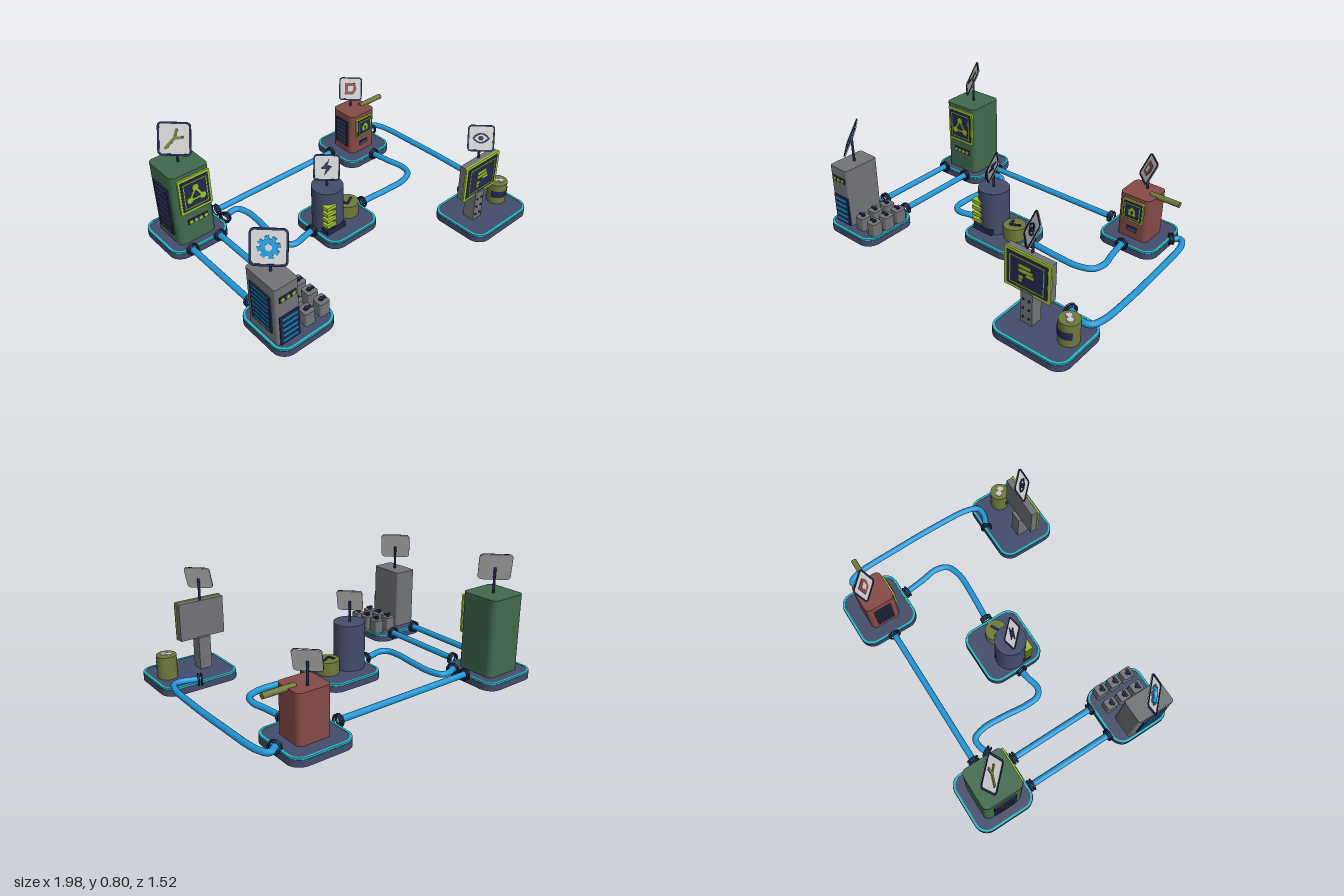
import * as THREE from 'three';

const M = {};
for (const [name, color] of Object.entries({
  slate: 0x434c6b, teal: 0x22bcc8, blue: 0x2196d6, lime: 0xa0c430, olive: 0x6f7a3a,
  green: 0x40694c, red: 0x864a46, grey: 0x727377, white: 0xcccccc, navy: 0x1f2a4c,
})) {
  M[name] = new THREE.MeshStandardMaterial({ color });
  M[name].name = name;
}

function add(parent, name, geo, mat, x = 0, y = 0, z = 0) {
  const m = new THREE.Mesh(geo, mat);
  m.name = name;
  m.position.set(x, y, z);
  parent.add(m);
  return m;
}
function group(parent, name, x = 0, y = 0, z = 0) {
  const g = new THREE.Group();
  g.name = name;
  g.position.set(x, y, z);
  parent.add(g);
  return g;
}
const box = (w, h, d) => new THREE.BoxGeometry(w, h, d);
const cyl = (r, h, n = 32) => new THREE.CylinderGeometry(r, r, h, n);

function rounded(w, h, r, S = THREE.Shape) {
  const s = new S(), a = w / 2, b = h / 2;
  s.absarc(a - r, b - r, r, 0, Math.PI / 2);
  s.absarc(r - a, b - r, r, Math.PI / 2, Math.PI);
  s.absarc(r - a, r - b, r, Math.PI, Math.PI * 1.5);
  s.absarc(a - r, r - b, r, Math.PI * 1.5, Math.PI * 2);
  s.closePath();
  return s;
}
function ring(w, h, r, t) {
  const s = rounded(w, h, r);
  s.holes.push(rounded(w - 2 * t, h - 2 * t, Math.max(r - t, 0.002), THREE.Path));
  return s;
}
const ext = (shape, depth) =>
  new THREE.ExtrudeGeometry(shape, { depth, bevelEnabled: false, curveSegments: 7 });
const slab = (shape, height) => ext(shape, height).rotateX(-Math.PI / 2);
const poly = pts => new THREE.Shape(pts.map(p => new THREE.Vector2(...p)));

// Flat icon helpers, drawn in the local xy plane
function stroke(g, x1, y1, x2, y2, w, mat) {
  const m = add(g, 'iconStroke', box(Math.hypot(x2 - x1, y2 - y1), w, 0.006), mat, (x1 + x2) / 2, (y1 + y2) / 2, 0.003);
  m.rotation.z = Math.atan2(y2 - y1, x2 - x1);
}
function dot(g, x, y, r, mat, z = 0.003) {
  add(g, 'iconDot', cyl(r, 0.006, 20).rotateX(Math.PI / 2), mat, x, y, z);
}

// Platform with a bright rim
function platform(root, name, x, z, w, d) {
  const g = group(root, name, x, 0, z);
  add(g, 'slab', slab(rounded(w, d, 0.085), 0.042), M.slate);
  add(g, 'deck', slab(rounded(w - 0.03, d - 0.03, 0.07), 0.01), M.slate, 0, 0.04);
  add(g, 'rim', slab(ring(w - 0.004, d - 0.004, 0.083, 0.014), 0.011), M.teal, 0, 0.042);
  return g;
}

// Tilted sign on a thin pole; draw() adds its icon
function sign(root, x, y, z, s, foot, draw) {
  const g = group(root, 'sign', x, y, z);
  add(g, 'signPole', cyl(0.008, y - foot, 10), M.navy, 0, (foot - y) / 2, 0);
  const p = group(g, 'signPlate');
  p.rotation.set(-25 * Math.PI / 180, -Math.PI / 4, 0, 'YXZ');
  add(p, 'plate', ext(rounded(s * 0.99, s * 0.99, s * 0.14), 0.006), M.white);
  add(p, 'signFrame', ext(ring(s, s, s * 0.14, s * 0.06), 0.005), M.navy, 0, 0, 0.005);
  const icon = group(p, 'signIcon', 0, 0, 0.005);
  icon.scale.set(s, s, 1);
  draw(icon);
}

// Framed screen facing +z
function screen(root, x, y, z, w, h, draw) {
  const g = group(root, 'screen', x, y, z);
  add(g, 'screenFrame', ext(rounded(w, h, 0.008), 0.012), M.lime);
  add(g, 'screenFace', box(w * 0.87, h * 0.85, 0.006), M.navy, 0, 0, 0.012);
  add(g, 'screenBorder', ext(ring(w * 0.74, h * 0.72, 0.008, 0.006), 0.004), M.lime, 0, 0, 0.014);
  const icon = group(g, 'screenIcon', 0, 0, 0.013);
  icon.scale.set(h, h, 1);
  draw(icon);
}

// Row of indicator lights on a dark strip
function lights(root, x, y, z, n, w, mat) {
  const g = group(root, 'lights', x, y, z);
  add(g, 'lightStrip', box(w, 0.035, 0.008), M.navy);
  for (let i = 0; i < n; i++) dot(g, (i - (n - 1) / 2) * (w / n), 0, 0.013, mat, 0.005);
}

// Slatted vent on a -x face
function vent(root, x, y, z, w, h, n, mat) {
  const g = group(root, 'vent', x, y, z);
  add(g, 'ventPlate', box(0.012, h, w), M.navy);
  for (let i = 0; i < n; i++)
    add(g, 'ventSlat', box(0.008, h / n * 0.35, w * 0.82), mat, -0.006, ((i + 0.5) / n - 0.5) * h, 0);
}

// Pipe along the floor with paired collars at both ends
function pipe(root, pts) {
  const curve = new THREE.CatmullRomCurve3(pts.map(([x, z]) => new THREE.Vector3(x, 0.062, z)));
  const g = group(root, 'pipe');
  add(g, 'pipeTube', new THREE.TubeGeometry(curve, pts.length * 10, 0.02, 14), M.blue);
  const len = curve.getLength();
  for (const d of [0.004, 0.022]) for (const t of [d / len, 1 - d / len]) {
    const c = add(g, 'collar', new THREE.TorusGeometry(0.034, 0.006, 8, 24), M.navy);
    c.position.copy(curve.getPointAt(t));
    c.lookAt(c.position.clone().add(curve.getTangentAt(t)));
  }
}

export function createModel() {
  const root = new THREE.Group();
  root.name = 'pipelineStations';

  // Green tower station
  const a = platform(root, 'towerStation', -0.785, -0.565, 0.405, 0.405);
  add(a, 'greenTower', slab(rounded(0.26, 0.265, 0.035), 0.5), M.green, 0, 0.05, 0.005);
  screen(a, 0.01, 0.4, 0.137, 0.22, 0.25, g => {
    const p = [[0, 0.17], [-0.18, -0.14], [0.18, -0.14]];
    p.forEach(([x, y], i) => {
      dot(g, x, y, 0.085, M.lime);
      stroke(g, x, y, ...p[(i + 1) % 3], 0.05, M.lime);
    });
  });
  lights(a, 0.01, 0.2, 0.139, 4, 0.14, M.lime);
  vent(a, -0.134, 0.28, 0.005, 0.15, 0.34, 8, M.slate);
  sign(a, 0.005, 0.71, 0, 0.2, 0.55, g => {
    stroke(g, -0.28, -0.3, 0, 0.02, 0.09, M.olive);
    stroke(g, 0, 0.02, 0.08, 0.3, 0.08, M.olive);
    stroke(g, 0, 0.02, 0.27, 0.05, 0.08, M.olive);
  });

  // Red station with side spout
  const b = platform(root, 'redStation', 0.64, -0.565, 0.405, 0.405);
  add(b, 'redTower', slab(rounded(0.215, 0.205, 0.035), 0.3), M.red, 0, 0.05, 0.005);
  add(b, 'spout', cyl(0.018, 0.2, 20).rotateZ(Math.PI / 2), M.olive, 0.155, 0.347, 0.008);
  screen(b, 0, 0.25, 0.107, 0.15, 0.15, g => {
    add(g, 'house', ext(poly([[-0.16, -0.18], [0.16, -0.18], [0.16, 0.06], [0, 0.22], [-0.16, 0.06]]), 0.005), M.lime);
    add(g, 'door', box(0.1, 0.16, 0.006), M.navy, 0, -0.06, 0.004);
  });
  lights(b, 0, 0.115, 0.108, 3, 0.07, M.slate);
  vent(b, -0.111, 0.2, 0.005, 0.12, 0.2, 6, M.slate);
  sign(b, 0.005, 0.485, -0.035, 0.16, 0.34, g => {
    add(g, 'badge', ext(poly([[-0.25, -0.25], [0.12, -0.25], [0.27, 0], [0.2, 0.25], [-0.25, 0.25]]), 0.005), M.red);
    add(g, 'badgeCore', ext(poly([[-0.12, -0.12], [0.08, -0.12], [0.13, 0.12], [-0.12, 0.12]]), 0.007), M.white);
  });

  // Power station: tall tank and low drum
  const c = platform(root, 'powerStation', -0.022, -0.003, 0.405, 0.405);
  add(c, 'tank', cyl(0.1, 0.3, 40), M.slate, -0.08, 0.2, 0.003);
  for (let i = 0; i < 4; i++) add(c, 'tankStripe', box(0.075, 0.024, 0.05), M.lime, -0.137, 0.125 + i * 0.045, 0.085);
  add(c, 'tankLabel', box(0.15, 0.038, 0.06), M.navy, -0.095, 0.073, 0.075);
  add(c, 'drum', cyl(0.072, 0.088, 36), M.olive, 0.088, 0.094, 0.003);
  const tick = group(c, 'tick', 0.088, 0.138, 0.003);
  tick.rotation.x = -Math.PI / 2;
  stroke(tick, -0.032, 0.028, -0.02, -0.022, 0.016, M.navy);
  stroke(tick, -0.022, -0.022, 0.042, 0.012, 0.016, M.navy);
  sign(c, -0.083, 0.483, 0.003, 0.16, 0.35, g =>
    add(g, 'bolt', ext(poly([[0.1, 0.33], [-0.22, -0.06], [-0.03, -0.06], [-0.1, -0.33], [0.22, 0.07], [0.03, 0.07]]), 0.006), M.navy));

  // Grey server station with canisters
  const d = platform(root, 'serverStation', -0.785, 0.448, 0.405, 0.405);
  add(d, 'serverTower', slab(rounded(0.155, 0.25, 0.015), 0.4), M.grey, -0.102, 0.05, 0.014);
  add(d, 'serverPanel', box(0.13, 0.2, 0.008), M.navy, -0.098, 0.15, 0.142);
  for (let i = 0; i < 5; i++) add(d, 'serverBar', box(0.105, 0.016, 0.008), M.blue, -0.098, 0.075 + i * 0.038, 0.147);
  lights(d, -0.1, 0.37, 0.141, 3, 0.11, M.lime);
  vent(d, -0.182, 0.25, 0.014, 0.17, 0.26, 8, M.blue);
  for (const x of [0.05, 0.155]) for (const z of [-0.1, 0, 0.1]) {
    add(d, 'canister', slab(rounded(0.07, 0.075, 0.012), 0.09), M.grey, x, 0.05, z);
    add(d, 'canisterNeck', cyl(0.012, 0.014, 12), M.navy, x, 0.146, z);
    add(d, 'canisterHandle', box(0.045, 0.008, 0.016), M.navy, x, 0.156, z + 0.008);
  }
  sign(d, -0.1, 0.612, 0.007, 0.2, 0.45, g => {
    for (let i = 0; i < 4; i++) {
      const t = i * Math.PI / 4 + 0.2, x = Math.cos(t) * 0.3, y = Math.sin(t) * 0.3;
      stroke(g, -x, -y, x, y, 0.12, M.blue);
    }
    dot(g, 0, 0, 0.22, M.blue, 0.004);
    dot(g, 0, 0, 0.09, M.white, 0.006);
  });

  // Monitor station with post and drum
  const e = platform(root, 'monitorStation', 0.74, 0.553, 0.505, 0.405);
  add(e, 'post', box(0.08, 0.21, 0.08), M.grey, -0.1, 0.155, 0.007);
  for (const x of [-0.12, -0.08]) for (const y of [0.09, 0.15, 0.21])
    add(e, 'postBolt', cyl(0.007, 0.008, 10).rotateX(Math.PI / 2), M.navy, x, y, 0.048);
  add(e, 'monitorBody', box(0.3, 0.24, 0.042), M.grey, -0.102, 0.375, 0.01);
  screen(e, -0.102, 0.375, 0.031, 0.312, 0.25, g =>
    [[-0.2, 0.12, 0.17], [-0.2, 0, 0.06], [-0.08, 0.17, 0.07], [0, 0.2, -0.02], [-0.2, -0.09, -0.11], [-0.2, -0.12, -0.2]]
      .forEach(([x1, x2, y]) => stroke(g, x1, y, x2, y, 0.07, M.lime)));
  add(e, 'drum', cyl(0.062, 0.145, 36), M.olive, 0.15, 0.1225, 0);
  M.navy.side = THREE.DoubleSide;
  add(e, 'drumLabel', new THREE.CylinderGeometry(0.066, 0.066, 0.05, 24, 1, true, -1.5, 2.4), M.navy, 0.15, 0.125, 0);
  for (const s of [-1, 1]) add(e, 'drumCap', cyl(0.02, 0.01, 20), M.white, 0.15 + s * 0.013, 0.198, s * 0.013);
  sign(e, -0.1, 0.635, 0, 0.16, 0.49, g => {
    const eye = new THREE.Shape();
    eye.moveTo(-0.33, 0).quadraticCurveTo(0, 0.4, 0.33, 0).quadraticCurveTo(0, -0.4, -0.33, 0);
    const hole = new THREE.Path();
    hole.moveTo(-0.25, 0).quadraticCurveTo(0, -0.28, 0.25, 0).quadraticCurveTo(0, 0.28, -0.25, 0);
    eye.holes.push(hole);
    add(g, 'eyeOutline', ext(eye, 0.006), M.navy);
    dot(g, 0, 0, 0.09, M.navy);
  });

  // Connecting pipes
  pipe(root, [[-0.575, -0.567], [0.435, -0.567]]);
  for (const x of [-0.883, -0.685]) pipe(root, [[x, -0.36], [x, 0.245]]);
  pipe(root, [[-0.575, -0.46], [-0.52, -0.485], [-0.455, -0.485], [-0.425, -0.41], [-0.43, -0.25],
    [-0.445, -0.1], [-0.435, -0.005], [-0.39, 0.028], [-0.3, 0.012], [-0.225, 0]]);
  pipe(root, [[0.64, -0.36], [0.66, -0.21], [0.678, -0.1], [0.65, -0.02], [0.56, 0.017], [0.43, 0.018], [0.18, 0]]);
  pipe(root, [[0.84, -0.585], [0.9, -0.625], [0.935, -0.57], [0.957, -0.24], [0.963, 0.08],
    [0.952, 0.32], [0.92, 0.395], [0.865, 0.403], [0.755, 0.36]]);
  return root;
}
